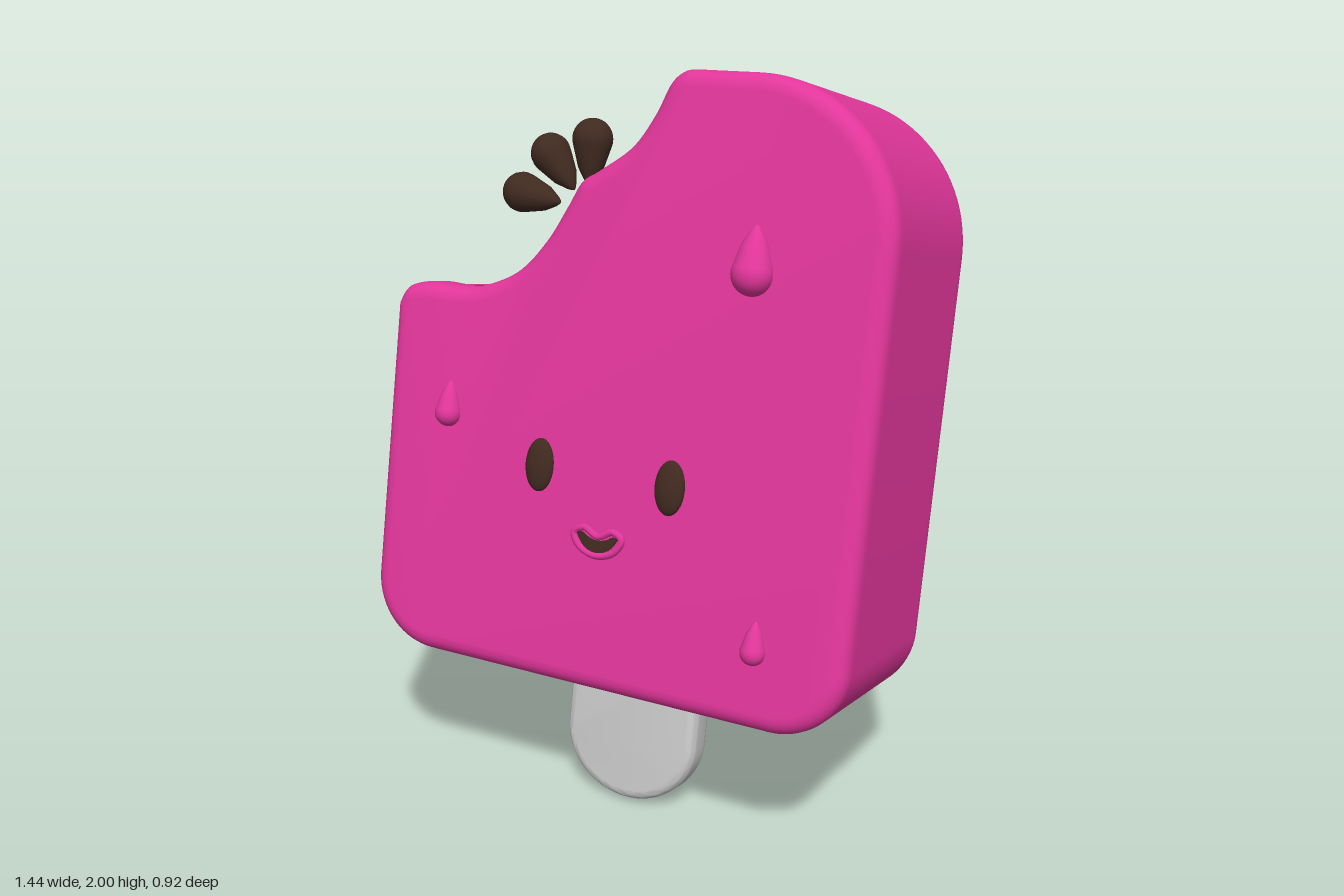
import * as THREE from 'three';
import { toCreasedNormals } from 'three/addons/utils/BufferGeometryUtils.js';

const mat = (name, color) => {
  const m = new THREE.MeshStandardMaterial({ color });
  m.name = name;
  return m;
};
const V = (x, y) => new THREE.Vector2(x, y);

// Extrude a shape symmetrically about z = 0 with a rounded edge kept inside the outline
function extrude(shape, depth, bevel, curveSegments = 6, steps = 1) {
  const g = new THREE.ExtrudeGeometry(shape, {
    depth: depth - 2 * bevel, steps, curveSegments, bevelEnabled: bevel > 0,
    bevelThickness: bevel, bevelSize: bevel, bevelOffset: -bevel, bevelSegments: 5,
  });
  return g.translate(0, 0, -depth / 2 + bevel);
}
const smooth = (g) => toCreasedNormals(g, 0.7);

// Teardrop: ball of radius r at the origin, tip at y = h
function teardrop(r, h) {
  const pts = [];
  for (let i = 0; i <= 10; i++) {
    const a = -Math.PI / 2 + (i / 10) * 1.9;
    pts.push(V(Math.max(0, r * Math.cos(a)), r * Math.sin(a)));
  }
  pts.push(V(r * 0.62, h * 0.62), V(r * 0.27, h * 0.88), V(r * 0.1, h * 0.97), V(0, h));
  return new THREE.LatheGeometry(pts, 20);
}

export function createModel() {
  const pink = mat('pink icing', 0xe2369b);
  const brown = mat('chocolate', 0x402a20);
  const wood = mat('pale grey stick', 0xc6c6c6);

  const model = new THREE.Group();
  model.name = 'icePop';
  const pop = new THREE.Group();
  pop.name = 'tiltedPop';
  pop.position.set(0, 1.165, 0);
  pop.rotation.set(-0.209, -0.059, 0, 'YXZ');
  model.add(pop);

  const add = (name, geo, material, x = 0, y = 0, z = 0) => {
    const m = new THREE.Mesh(geo, material);
    m.name = name;
    m.position.set(x, y, z);
    pop.add(m);
    return m;
  };

  // Body with a two-lobed bite out of the upper corner
  const W = 0.699, H = 0.805, B = -0.798, T = 0.6, F = 0.28, mid = F - T / 2;
  const bite = [
    [0.14, H], [0.105, 0.8], [0.068, 0.768], [0.03, 0.686], [-0.025, 0.606], [-0.112, 0.543],
    [-0.16, 0.511], [-0.195, 0.447], [-0.25, 0.352], [-0.327, 0.267], [-0.43, 0.219],
    [-0.51, 0.209], [-0.6, 0.211], [-0.67, 0.192], [-W, 0.145],
  ].map(([x, y]) => V(x, y));
  const rb = 0.19, rt = 0.4;
  const outline = new THREE.Shape();
  outline.moveTo(bite[0].x, bite[0].y);
  outline.splineThru(bite.slice(1));
  outline.lineTo(-W, B + rb);
  outline.absarc(-W + rb, B + rb, rb, Math.PI, Math.PI * 1.5);
  outline.lineTo(W - rb, B);
  outline.absarc(W - rb, B + rb, rb, Math.PI * 1.5, Math.PI * 2);
  outline.lineTo(W, H - rt);
  outline.absarc(W - rt, H - rt, rt, 0, Math.PI / 2);
  const bodyGeo = extrude(outline, T, 0.045, 12, 26);

  // Sink a shallow tray into the bitten surface
  const inTray = (x) => x > -0.655 && x < 0.05;
  const sink = V(0.012, -0.02);
  const pos = bodyGeo.attributes.position;
  for (let i = 0; i < pos.count; i++) {
    const x = pos.getX(i), y = pos.getY(i);
    if (inTray(x) && y > 0.1 && Math.abs(pos.getZ(i)) < 0.19) pos.setXY(i, x + sink.x, y + sink.y);
  }
  add('body', smooth(bodyGeo), pink, 0, 0, mid);

  // Chocolate filling: thin strip lying in the tray
  const curve = new THREE.SplineCurve(bite);
  const over = [], under = [];
  for (let i = 0; i <= 160; i++) {
    const p = curve.getPoint(i / 160);
    if (!inTray(p.x)) continue;
    over.push(V(p.x + sink.x * 0.45, p.y + sink.y * 0.45));
    under.push(V(p.x + sink.x * 1.3, p.y + sink.y * 1.3));
  }
  const strip = new THREE.Shape([...over, ...under.reverse()]);
  add('filling', smooth(extrude(strip, 0.375, 0)), brown, 0, 0, mid);

  // Stick with a round end
  const sw = 0.2, tip = -1.178, end = 0.185;
  const stick = new THREE.Shape();
  stick.moveTo(sw, -0.72);
  stick.lineTo(-sw, -0.72);
  stick.lineTo(-sw, tip + end);
  stick.absellipse(0, tip + end, sw, end, Math.PI, Math.PI * 2);
  stick.lineTo(sw, -0.72);
  add('stick', smooth(extrude(stick, 0.098, 0.026, 16)), wood, 0, 0, -0.046);

  // Melting drops on the front
  for (const [x, y, r, h] of [[0.351, 0.324, 0.054, 0.12], [-0.492, -0.132, 0.037, 0.088], [0.456, -0.596, 0.033, 0.08]])
    add('drop', teardrop(r, h), pink, x, y, F);

  // Eyes
  for (const x of [-0.195, 0.187])
    add('eye', new THREE.SphereGeometry(1, 24, 16), brown, x, -0.228, F).scale.set(0.042, 0.071, 0.02);

  // Mouth: pink lip around a dark smile
  const lip = [[-0.07, 0.018], [-0.042, 0.034], [0, 0.016], [0.042, 0.034], [0.07, 0.018],
    [0.05, -0.018], [0, -0.035], [-0.05, -0.018]].map(([x, y]) => new THREE.Vector3(x, y, 0));
  const lipCurve = new THREE.CatmullRomCurve3(lip, true);
  add('lip', new THREE.TubeGeometry(lipCurve, 64, 0.01, 8, true), pink, -0.005, -0.402, F);
  const smile = new THREE.Shape();
  smile.moveTo(-0.06, 0.018);
  smile.quadraticCurveTo(-0.045, 0.026, -0.033, 0.014);
  smile.quadraticCurveTo(0, -0.004, 0.033, 0.014);
  smile.quadraticCurveTo(0.045, 0.026, 0.06, 0.018);
  smile.quadraticCurveTo(0.04, -0.027, 0, -0.027);
  smile.quadraticCurveTo(-0.04, -0.027, -0.06, 0.018);
  add('smile', smooth(extrude(smile, 0.009, 0)), brown, -0.005, -0.402, F);

  // Chocolate crumbs flying off the bite: ball centre, then tip
  for (const [x, y, tx, ty] of [[-0.526, 0.474, -0.398, 0.455], [-0.444, 0.588, -0.358, 0.492], [-0.314, 0.636, -0.311, 0.505]]) {
    const dx = tx - x, dy = ty - y;
    add('crumb', teardrop(0.057, Math.hypot(dx, dy)), brown, x, y, -0.055).rotation.z = Math.atan2(-dx, dy);
  }
  return model;
}
